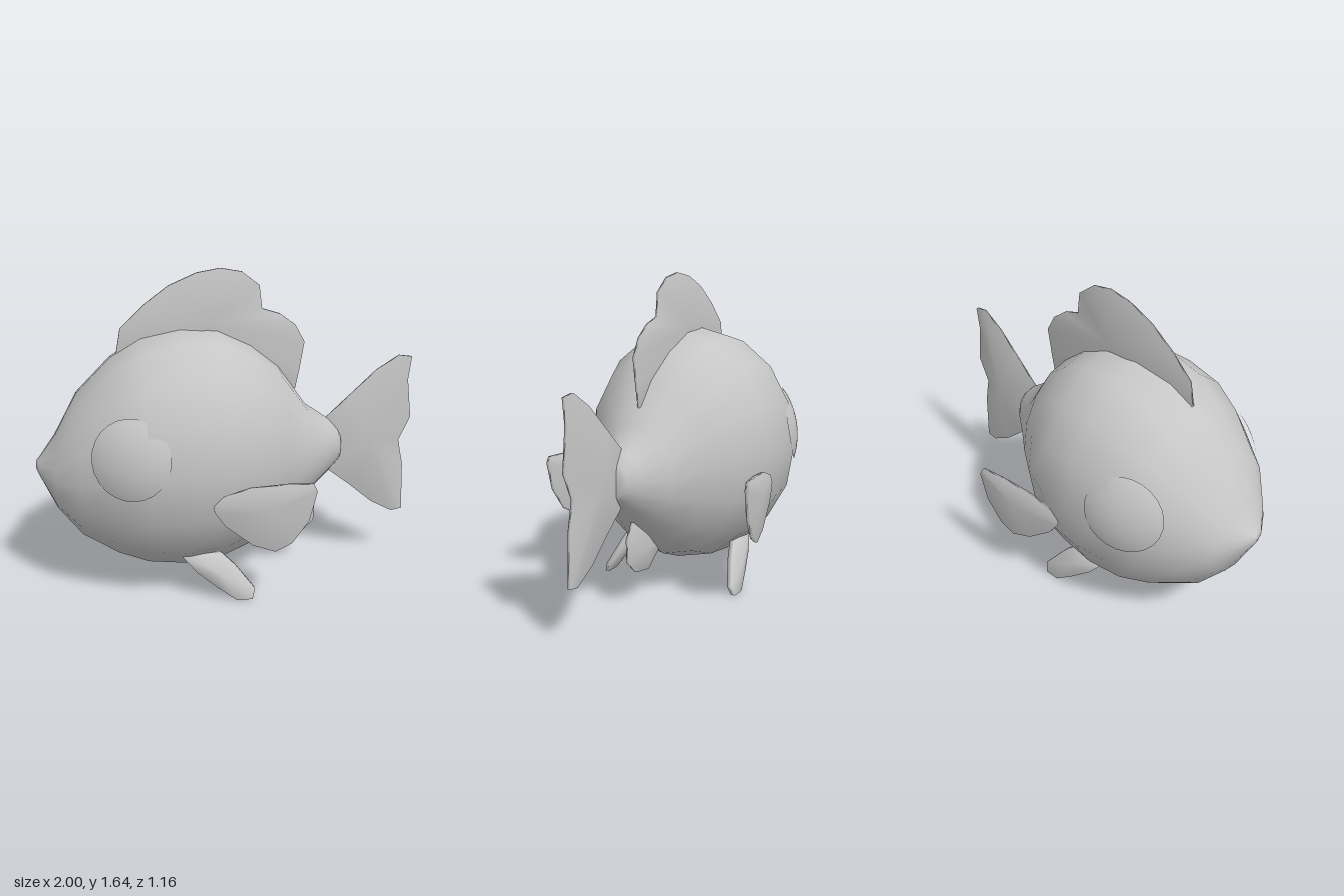
import * as THREE from 'three';

const grey = new THREE.MeshStandardMaterial({ color: 0xc6c6c6 });
grey.name = 'lightGrey';

function makeMesh(name, positions, indices) {
  const g = new THREE.BufferGeometry();
  g.setAttribute('position', new THREE.Float32BufferAttribute(positions, 3));
  g.setIndex(indices);
  g.computeVertexNormals();
  const mesh = new THREE.Mesh(g, grey);
  mesh.name = name;
  return mesh;
}

// Body: elliptical sections along x, each [x, top, bottom, half width]
function makeBody() {
  const sections = [
    [-1, 0.68, 0.635, 0.015], [-0.98, 0.7, 0.595, 0.075], [-0.9, 0.81, 0.43, 0.205],
    [-0.78, 1.03, 0.28, 0.335], [-0.6, 1.21, 0.17, 0.445], [-0.45, 1.305, 0.113, 0.505],
    [-0.25, 1.353, 0.088, 0.527], [-0.06, 1.343, 0.113, 0.512], [0.11, 1.255, 0.18, 0.44],
    [0.26, 1.13, 0.28, 0.335], [0.41, 0.915, 0.42, 0.215], [0.54, 0.825, 0.535, 0.12],
    [0.59, 0.77, 0.585, 0.075], [0.605, 0.74, 0.605, 0.05],
  ];
  const n = 16, pos = [], idx = [];
  for (const [x, top, bottom, w] of sections) {
    for (let i = 0; i < n; i++) {
      const a = (i / n) * Math.PI * 2;
      pos.push(x, (top + bottom) / 2 + ((top - bottom) / 2) * Math.cos(a), w * Math.sin(a));
    }
  }
  const last = (sections.length - 1) * n;
  const nose = pos.length / 3, end = nose + 1;
  pos.push(-1, 0.66, 0, 0.605, 0.672, 0);
  for (let i = 0; i < n; i++) {
    const j = (i + 1) % n;
    for (let r = 0; r < last; r += n) {
      idx.push(r + i, r + j, r + n + i, r + j, r + n + j, r + n + i);
    }
    idx.push(nose, j, i, end, last + i, last + j);
  }
  return makeMesh('body', pos, idx);
}

// Fin: clockwise outline with a thick centre thinning to a narrow, softly
// shaded rim; midZ gives the z of its middle sheet
function makeFin(name, outline, [cx, cy], half, edge = 0.007, midZ = () => 0) {
  const pos = [], idx = [], n = outline.length;
  for (const s of [1, -1]) {
    pos.push(cx, cy, midZ(cx, cy) + s * half);
    for (const [x, y] of outline) pos.push(x, y, midZ(x, y) + s * edge);
  }
  const back = n + 1;
  for (let i = 0; i < n; i++) {
    const a = 1 + i, b = 1 + ((i + 1) % n);
    idx.push(0, b, a, back, back + a, back + b);
    idx.push(a, b, back + a, b, back + b, back + a);
  }
  return makeMesh(name, pos, idx);
}

// Eye: shallow dome lying almost flush with the side of the head
function makeEye(name, s) {
  const radius = 0.45, angle = 0.46;
  const eye = new THREE.Mesh(
    new THREE.SphereGeometry(radius, 24, 6, 0, Math.PI * 2, 0, angle), grey);
  const normal = new THREE.Vector3(-0.37, 0.18, s * 0.91).normalize();
  eye.name = name;
  eye.quaternion.setFromUnitVectors(new THREE.Vector3(0, 1, 0), normal);
  eye.position.set(-0.54, 0.81, s * 0.432).addScaledVector(normal, -radius * Math.cos(angle));
  return eye;
}

export function createModel() {
  const fish = new THREE.Group();
  fish.name = 'fish';
  fish.add(makeBody());

  // Fins on the centre line
  fish.add(makeFin('dorsalFin', [
    [-0.58, 1.19], [-0.55, 1.35], [-0.43, 1.465], [-0.3, 1.56], [-0.16, 1.62], [-0.04, 1.64],
    [0.07, 1.62], [0.16, 1.55], [0.175, 1.43], [0.27, 1.4], [0.35, 1.34], [0.4, 1.25],
    [0.375, 1.1], [0.355, 1.0], [0.2, 1.08], [-0.1, 1.2], [-0.4, 1.17],
  ], [-0.1, 1.37], 0.055));
  fish.add(makeFin('tailFin', [
    [0.53, 0.83], [0.66, 0.95], [0.8, 1.08], [0.92, 1.155], [0.99, 1.145], [0.975, 1.02],
    [1, 0.81], [0.94, 0.68], [0.97, 0.54], [0.98, 0.275], [0.92, 0.265], [0.8, 0.33],
    [0.67, 0.44], [0.54, 0.54],
  ], [0.78, 0.7], 0.052));
  fish.add(makeFin('analFin', [
    [0.14, 0.25], [0.2, 0.4], [0.33, 0.5], [0.43, 0.435], [0.48, 0.36], [0.475, 0.24],
    [0.4, 0.17], [0.28, 0.15], [0.18, 0.22],
  ], [0.33, 0.29], 0.042));

  // Paired fins and eyes
  for (const [side, s] of [['left', 1], ['right', -1]]) {
    fish.add(makeFin(side + 'PectoralFin', [
      [-0.155, 0.57], [-0.11, 0.62], [0.02, 0.665], [0.2, 0.685], [0.32, 0.685], [0.335, 0.65],
      [0.3, 0.5], [0.22, 0.38], [0.14, 0.335], [0.03, 0.37], [-0.1, 0.47], [-0.15, 0.54],
    ], [0.11, 0.56], 0.03, 0.009, (x) => s * (0.517 + 0.16 * x)));
    fish.add(makeFin(side + 'PelvicFin', [
      [-0.285, 0.225], [-0.2, 0.24], [-0.09, 0.235], [-0.02, 0.17], [0.075, 0.05], [0.06, 0],
      [-0.02, 0], [-0.12, 0.07], [-0.22, 0.15],
    ], [-0.11, 0.15], 0.038, 0.012, (x, y) => s * (0.384 - 0.34 * y)));
    fish.add(makeEye(side + 'Eye', s));
  }
  return fish;
}
